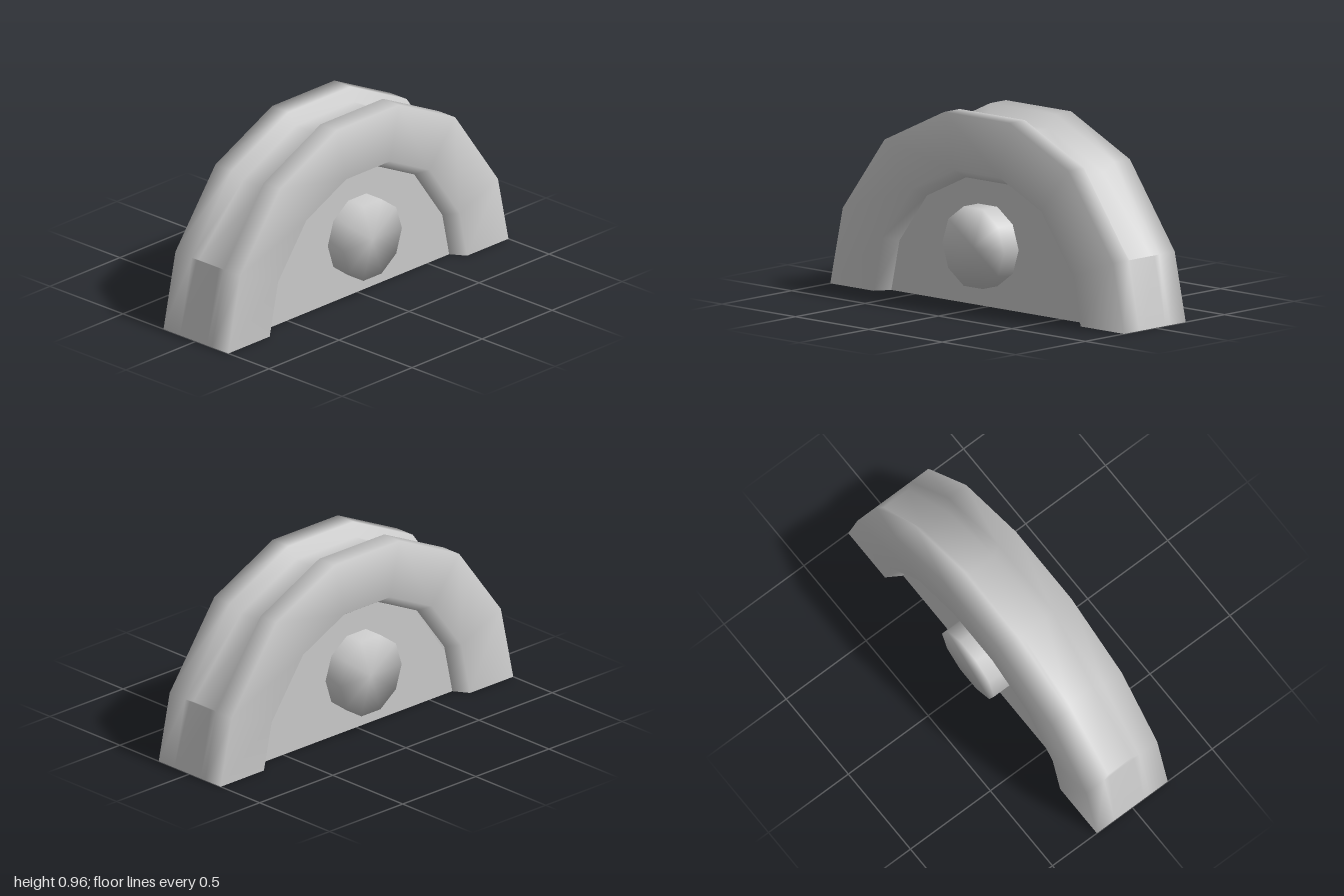
import * as THREE from 'three';
import { mergeVertices } from 'three/addons/utils/BufferGeometryUtils.js';

const material = new THREE.MeshStandardMaterial({ color: 0xcccccc, side: THREE.DoubleSide });

// Outer corners of the half wheel with the groove depth at each; the groove stops at a small ledge on both ends
const stations = [
  [-1, 0, 0], [-0.915, 0.39, 0], [-0.915, 0.39, 0.015],
  [-0.63, 0.77, 0.07], [-0.225, 0.96, 0.07], [0.22, 0.96, 0.07], [0.62, 0.77, 0.07],
  [0.925, 0.345, 0.025], [0.925, 0.345, 0], [1, 0, 0],
];
const INNER = 0.657, PANEL_Z = 0.145;

// Half of the rim section as [scale towards the centre, z]
const halfSection = (depth) => [[INNER, PANEL_Z], [0.705, 0.222], [1, 0.222], [1, 0.11], [1 - depth, 0.075]];

// Shared corners give smooth shading
function smooth(geometry) {
  geometry.deleteAttribute('normal');
  geometry.deleteAttribute('uv');
  const merged = mergeVertices(geometry, 1e-4);
  merged.computeVertexNormals();
  return merged;
}

function rimGeometry() {
  const positions = [], index = [], n = 10;
  stations.forEach(([x, y, depth], i) => {
    const half = halfSection(depth);
    const section = [...half, ...half.map(([s, z]) => [s, -z]).reverse()];
    section.forEach(([s, z], j) => {
      positions.push(x * s, y * s, z);
      if (i < stations.length - 1 && j < n - 1) {
        const a = i * n + j, b = a + n;
        index.push(a, b, a + 1, b, b + 1, a + 1);
      }
    });
  });
  const geometry = new THREE.BufferGeometry();
  geometry.setAttribute('position', new THREE.Float32BufferAttribute(positions, 3));
  geometry.setIndex(index);
  return smooth(geometry);
}

export function createModel() {
  const group = new THREE.Group();
  const add = (name, geometry) => {
    const mesh = new THREE.Mesh(geometry, material);
    mesh.name = name;
    group.add(mesh);
    return mesh;
  };

  // Grooved rim, open underneath
  add('groovedRim', rimGeometry());

  // Recessed side panels
  const outline = new THREE.Shape(stations.map(([x, y]) => new THREE.Vector2(x * INNER, y * INNER)));
  add('frontPanel', new THREE.ShapeGeometry(outline)).position.z = PANEL_Z;
  const back = add('backPanel', new THREE.ShapeGeometry(outline));
  back.position.z = -PANEL_Z;
  back.rotation.y = Math.PI;

  // Ten-sided axle through both panels
  const axle = new THREE.CylinderGeometry(0.21, 0.21, 0.5, 10);
  axle.rotateY(Math.PI / 2).rotateX(Math.PI / 2);
  add('axle', smooth(axle)).position.y = 0.31;

  return group;
}
